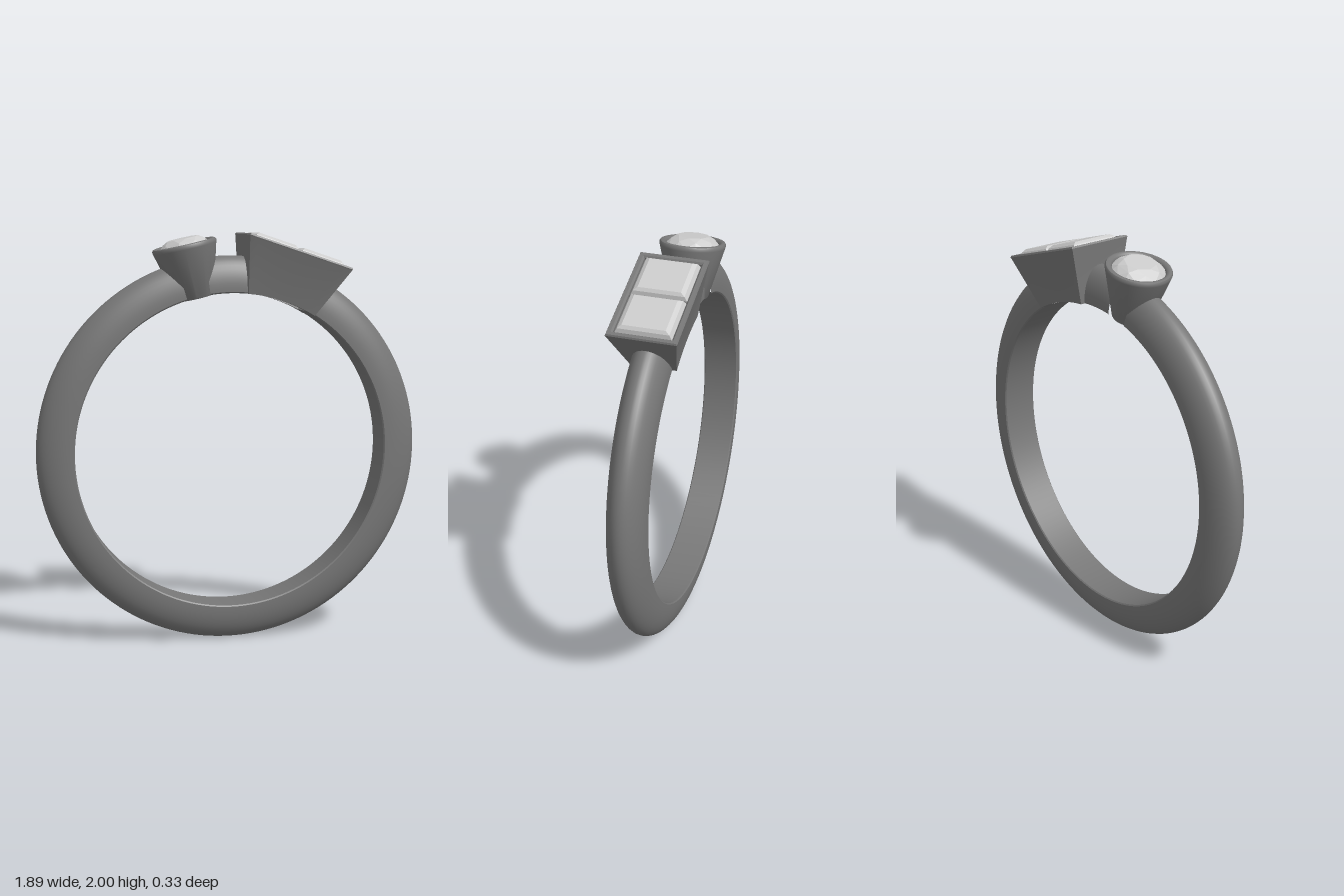
import * as THREE from 'three';
import { toCreasedNormals } from 'three/addons/utils/BufferGeometryUtils.js';
import { ConvexGeometry } from 'three/addons/geometries/ConvexGeometry.js';

const CENTRE_Y = 0.945, INNER = 0.768;
const rad = THREE.MathUtils.degToRad;
const metal = new THREE.MeshStandardMaterial({ color: 0x777777 });
const stone = new THREE.MeshStandardMaterial({ color: 0xcccccc, flatShading: true });

function addMesh(parent, name, geometry, material) {
  const mesh = new THREE.Mesh(geometry, material);
  mesh.name = name;
  parent.add(mesh);
  return mesh;
}

// Group whose +y points outward from the ring centre, 'degrees' clockwise from the top
function radialGroup(parent, name, degrees) {
  const group = new THREE.Group();
  group.name = name;
  group.position.y = CENTRE_Y;
  group.rotation.z = -rad(degrees);
  parent.add(group);
  return group;
}

// Domed band section swept between two angles, measured clockwise from the top
function bandArc(from, to) {
  const profile = [new THREE.Vector2(INNER, -0.085), new THREE.Vector2(INNER + 0.006, -0.09)];
  for (let i = 0; i <= 20; i++) {
    const t = -Math.PI / 2 + (Math.PI * i) / 20;
    profile.push(new THREE.Vector2(0.79 + 0.155 * Math.cos(t), 0.09 * Math.sin(t)));
  }
  profile.push(new THREE.Vector2(INNER + 0.006, 0.09), new THREE.Vector2(INNER, 0.085), profile[0].clone());
  const segments = Math.max(6, Math.round((to - from) / 2.5));
  const geometry = new THREE.LatheGeometry(profile, segments, rad(from), rad(to - from));
  geometry.rotateX(-Math.PI / 2);
  return toCreasedNormals(geometry, 0.6);
}

// Rectangular tube through layers [halfLength, halfWidth, height];
// a null height follows the inside curve of the ring
function rectangularTube(layers) {
  const n = 12, outline = [];
  outline.push([1, 1]);
  for (let i = 0; i < n; i++) outline.push([1 - (2 * i) / n, -1]);
  for (let i = 0; i < n; i++) outline.push([-1 + (2 * i) / n, i ? 1 : -1]);
  // The left end needs both of its corners
  outline.splice(n + 2, 0, [-1, 1]);
  const count = outline.length, positions = [], index = [];
  for (const [length, width, height] of layers) {
    for (const [sx, sz] of outline) {
      const x = sx * length;
      positions.push(x, height ?? Math.sqrt(INNER * INNER - x * x), sz * width);
    }
  }
  for (let j = 0; j < layers.length; j++) {
    const low = j * count, high = ((j + 1) % layers.length) * count;
    for (let i = 0; i < count; i++) {
      const k = (i + 1) % count;
      index.push(low + i, low + k, high + k, low + i, high + k, high + i);
    }
  }
  const geometry = new THREE.BufferGeometry();
  geometry.setAttribute('position', new THREE.Float32BufferAttribute(positions, 3));
  geometry.setIndex(index);
  return toCreasedNormals(geometry, 0.6);
}

// Brilliant cut: table, crown facets, girdle and pointed pavilion
function roundStone() {
  const points = [new THREE.Vector3(0, 0.86, 0)];
  const ring = (radius, y, count, offset) => {
    for (let i = 0; i < count; i++) {
      const a = ((i + offset) / count) * Math.PI * 2;
      points.push(new THREE.Vector3(radius * Math.cos(a), y, radius * Math.sin(a)));
    }
  };
  ring(0.075, 1.052, 8, 0);
  ring(0.103, 1.037, 8, 0.5);
  ring(0.125, 1.012, 16, 0);
  ring(0.125, 1.0, 16, 0);
  return new ConvexGeometry(points);
}

// Step cut: rectangular tiers narrowing to the table above and a keel below
function stepStone() {
  const tiers = [[0.094, 0.1, 1.04], [0.107, 0.119, 1.028], [0.114, 0.13, 1.008],
    [0.114, 0.13, 0.995], [0.06, 0.075, 0.9], [0.004, 0.04, 0.84]];
  const points = [];
  for (const [x, z, y] of tiers)
    for (const sx of [-1, 1]) for (const sz of [-1, 1]) points.push(new THREE.Vector3(sx * x, y, sz * z));
  return new ConvexGeometry(points);
}

export function createModel() {
  const model = new THREE.Group();
  model.name = 'ring';
  const roundAngle = -12.5, longAngle = 18.4;

  // Band, left open beneath the two settings
  const band = radialGroup(model, 'band', 0);
  addMesh(band, 'bandMain', bandArc(longAngle + 12.8, 360 + roundAngle - 4.3), metal);
  addMesh(band, 'bandBridge', bandArc(roundAngle + 4.3, longAngle - 12.8), metal);

  // Conical cup with a rounded rim and a through hole
  const round = radialGroup(model, 'roundSetting', roundAngle);
  const cup = [[0.055, 0.762], [0.087, 0.762], [0.091, 0.768], [0.155, 1.005], [0.157, 1.016], [0.152, 1.025],
    [0.142, 1.028], [0.13, 1.023], [0.124, 1.012], [0.12, 0.98], [0.055, 0.82], [0.055, 0.762]];
  const cupGeometry = new THREE.LatheGeometry(cup.map(([x, y]) => new THREE.Vector2(x, y)), 64);
  addMesh(round, 'roundCup', toCreasedNormals(cupGeometry, 0.7), metal);
  addMesh(round, 'roundStone', roundStone(), stone);

  // Tapered rectangular frame holding two stones side by side
  const long = radialGroup(model, 'rectangularSetting', longAngle);
  addMesh(long, 'rectangularFrame', rectangularTube([
    [0.13, 0.07, null], [0.173, 0.11, null], [0.264, 0.16, 1.006], [0.267, 0.163, 1.014], [0.263, 0.159, 1.022],
    [0.246, 0.142, 1.022], [0.238, 0.134, 1.014], [0.236, 0.132, 0.98],
  ]), metal);
  const divider = addMesh(long, 'divider', new THREE.BoxGeometry(0.012, 0.03, 0.27), metal);
  divider.position.y = 0.995;
  for (const side of [-1, 1]) {
    const gem = addMesh(long, side < 0 ? 'rightStepStone' : 'leftStepStone', stepStone(), stone);
    gem.position.x = side * 0.119;
  }
  return model;
}
